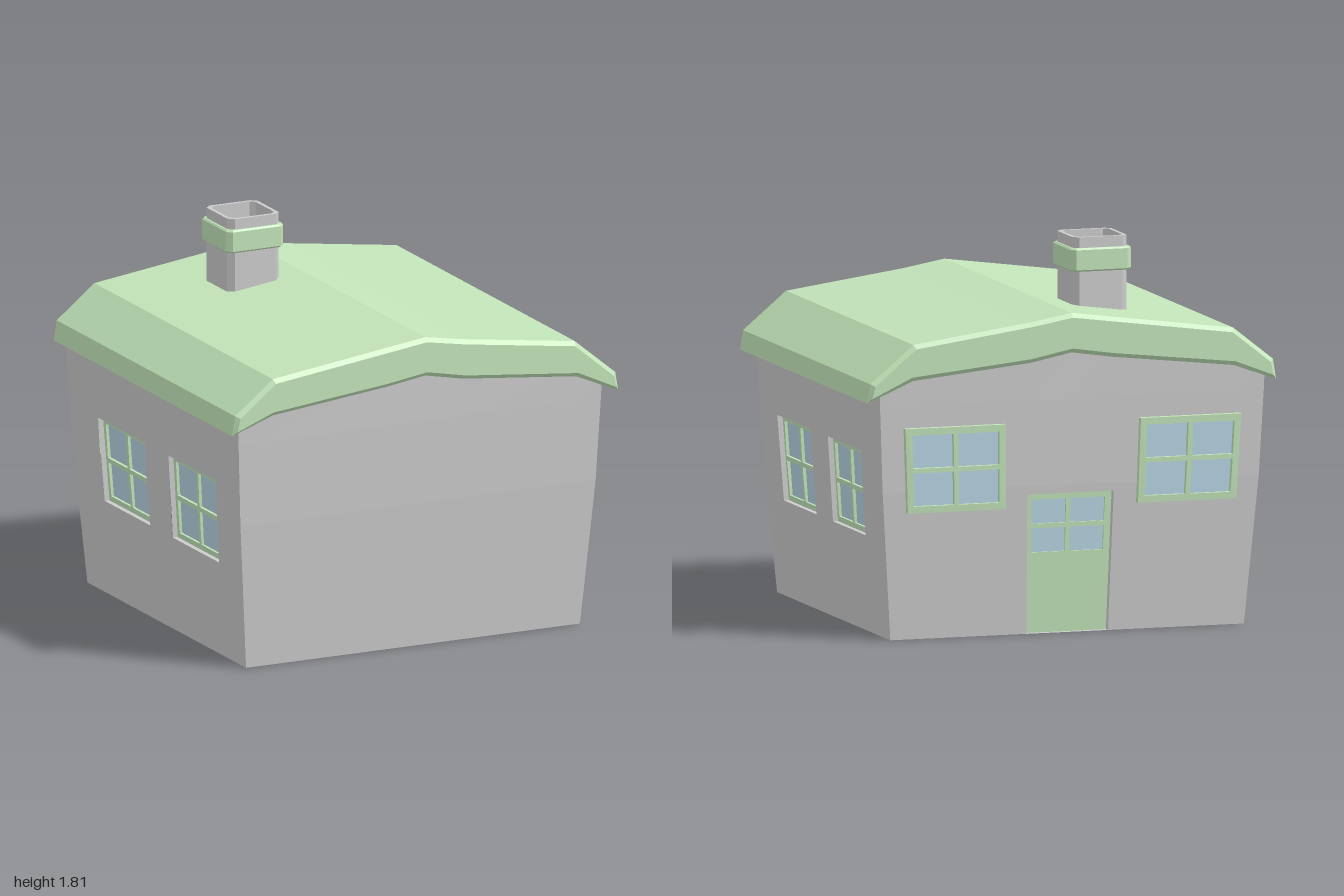
import * as THREE from 'three';

const mat = (color) => new THREE.MeshStandardMaterial({ color });
const grey = mat(0xcccccc);
const green = mat(0xc2e4b9);
const glass = mat(0xb8d7e4);

// Half width and half depth of the house where its scale is 1
const HX = 0.92, HZ = 0.88;

// Roof underside, from -x to +x
const eaves = [[-1, 1.155], [-0.79, 1.23], [-0.2, 1.295], [0, 1.325], [0.2, 1.285], [0.78, 1.225], [1, 1.13]];
const ridge = [[0.985, 1.22], [0.775, 1.395], [0.2, 1.475], [0, 1.51], [-0.79, 1.405], [-0.985, 1.25]];

function eavesAt(x) {
  const i = Math.max(1, eaves.findIndex((p) => p[0] >= x));
  const [a, b] = [eaves[i - 1], eaves[i]];
  return THREE.MathUtils.mapLinear(x, a[0], b[0], a[1], b[1]);
}

// The house widens upward, faster below y = 0.7
function spread(y) {
  return y < 0.7
    ? THREE.MathUtils.mapLinear(y, 0, 0.7, 0.94, 1)
    : THREE.MathUtils.mapLinear(Math.min(y, 1.2), 0.7, 1.2, 1, 1.025);
}

// Turns a geometry drawn in (along wall, up, outward) onto a wall and leans it with the house
function onWall(geo, wall) {
  geo.translate(0, 0, wall.reach).rotateY(wall.angle);
  const p = geo.attributes.position;
  for (let i = 0; i < p.count; i++) {
    const s = spread(p.getY(i));
    p.setXYZ(i, p.getX(i) * s - 0.012, p.getY(i), p.getZ(i) * s);
  }
  geo.computeVertexNormals();
  return geo;
}

function addMesh(parent, name, geo, material) {
  const mesh = new THREE.Mesh(geo, material);
  mesh.name = name;
  parent.add(mesh);
}

const sorted = (list) => [...new Set(list)].sort((a, b) => a - b);

// Wall as a grid of cells, leaving out the openings and lining them with reveals
function wallGeometry(wall) {
  const { half, holes, depth, sign } = wall;
  const us = sorted([-half, half, ...holes.flatMap((h) => [h[0], h[1]]),
    ...(sign ? eaves.slice(1, -1).map((e) => e[0] * sign) : [])]);
  const ys = sorted([0, 0.7, 1.1, 1.2, ...holes.flatMap((h) => [h[2], h[3]])]);
  const pos = [];
  const quad = (a, b, c, d) => pos.push(...a, ...b, ...c, ...a, ...c, ...d);
  const at = (u, y) => [u, y === 1.2 && sign ? eavesAt(u * sign) + 0.04 : y, 0];
  for (let i = 1; i < us.length; i++) {
    for (let j = 1; j < ys.length; j++) {
      const [u0, u1, y0, y1] = [us[i - 1], us[i], ys[j - 1], ys[j]];
      const open = holes.some((h) => u0 >= h[0] && u1 <= h[1] && y0 >= h[2] && y1 <= h[3]);
      if (!open) quad(at(u0, y0), at(u1, y0), at(u1, y1), at(u0, y1));
    }
  }
  for (const [u0, u1, y0, y1] of holes) {
    const c = [[u0, y0], [u1, y0], [u1, y1], [u0, y1]];
    c.forEach((a, i) => {
      const b = c[(i + 1) % 4];
      quad([...a, 0], [...b, 0], [...b, -depth], [...a, -depth]);
    });
  }
  const geo = new THREE.BufferGeometry();
  geo.setAttribute('position', new THREE.Float32BufferAttribute(pos, 3));
  return geo;
}

const polygon = (points) => points.map(([x, y]) => new THREE.Vector2(x, y));
const rect = (u0, u1, y0, y1) => polygon([[u0, y0], [u1, y0], [u1, y1], [u0, y1]]);

// Panel with two by two panes inside the area given by pane
function addGlazed(parent, name, wall, outer, pane, back, thick) {
  const group = new THREE.Group();
  group.name = name;
  const shape = new THREE.Shape(rect(...outer));
  const [u0, u1, y0, y1] = pane;
  const bar = 0.022, w = (u1 - u0 - bar) / 2, h = (y1 - y0 - bar) / 2;
  for (const u of [u0, u1 - w]) {
    for (const y of [y0, y1 - h]) shape.holes.push(new THREE.Path(rect(u, u + w, y, y + h)));
  }
  const frame = new THREE.ExtrudeGeometry(shape, { depth: thick, bevelEnabled: false });
  addMesh(group, 'frame', onWall(frame.translate(0, 0, back), wall), green);
  const sheet = new THREE.PlaneGeometry(u1 - u0, y1 - y0);
  sheet.translate((u0 + u1) / 2, (y0 + y1) / 2, back + thick * 0.35);
  addMesh(group, 'glass', onWall(sheet, wall), glass);
  parent.add(group);
}

const inset = ([u0, u1, y0, y1], m) => [u0 + m, u1 - m, y0 + m, y1 - m];

// Square outline with cut corners
function cutSquare(r, c) {
  const k = r - c;
  return polygon([[r, -k], [r, k], [k, r], [-k, r], [-r, k], [-r, -k], [-k, -r], [k, -r]]);
}

function makeChimney() {
  const chimney = new THREE.Group();
  chimney.name = 'chimney';
  const tube = (outer, cut, inner, y0, y1, bevel) => {
    const shape = new THREE.Shape(cutSquare(outer, cut));
    shape.holes.push(new THREE.Path(cutSquare(inner, cut * 0.8)));
    return new THREE.ExtrudeGeometry(shape, {
      depth: y1 - y0 - 2 * bevel, bevelEnabled: bevel > 0, bevelSize: bevel,
      bevelThickness: bevel, bevelOffset: -bevel, bevelSegments: 1,
    }).rotateX(-Math.PI / 2).translate(0, y0 + bevel, 0);
  };
  addMesh(chimney, 'chimneyStack', tube(0.133, 0.027, 0.115, 1.36, 1.81, 0), grey);
  addMesh(chimney, 'chimneyCollar', tube(0.149, 0.025, 0.125, 1.65, 1.76, 0.008), green);
  const floor = new THREE.ShapeGeometry(new THREE.Shape(cutSquare(0.12, 0.02)));
  addMesh(chimney, 'chimneyFloor', floor.rotateX(-Math.PI / 2).translate(0, 1.69, 0), grey);
  chimney.position.set(-0.257, 0, -0.457);
  return chimney;
}

export function createModel() {
  const house = new THREE.Group();
  house.name = 'house';

  const sideHoles = [[-0.632, -0.142, 0.46, 0.86], [0.1, 0.585, 0.46, 0.86]];
  const mirrored = sideHoles.map(([a, b, c, d]) => [-b, -a, c, d]);
  const doorway = [-0.212, 0.212, 0, 0.66];
  const walls = {
    frontWall: { angle: 0, reach: HZ, half: HX, holes: [], depth: 0, sign: 1 },
    backWall: { angle: Math.PI, reach: HZ, half: HX, holes: [doorway], depth: 0.045, sign: -1 },
    leftWall: { angle: Math.PI / 2, reach: HX, half: HZ, holes: sideHoles, depth: 0.045, sign: 0 },
    rightWall: { angle: -Math.PI / 2, reach: HX, half: HZ, holes: mirrored, depth: 0.045, sign: 0 },
  };
  for (const [name, wall] of Object.entries(walls)) {
    addMesh(house, name, onWall(wallGeometry(wall), wall), grey);
  }

  // Underside of the house
  const base = new THREE.PlaneGeometry(2 * HX * 0.94, 2 * HZ * 0.94);
  addMesh(house, 'base', base.rotateX(Math.PI / 2).translate(-0.012, 0, 0), grey);

  // Recessed side windows
  for (const wall of [walls.leftWall, walls.rightWall]) {
    for (const hole of wall.holes) addGlazed(house, 'sideWindow', wall, hole, inset(hole, 0.026), -0.045, 0.02);
  }

  // Raised back windows and the recessed door between them
  for (const u of [-0.81, 0.325]) {
    const area = [u, u + 0.485, 0.6, 1];
    addGlazed(house, 'backWindow', walls.backWall, area, inset(area, 0.032), -0.005, 0.033);
  }
  addGlazed(house, 'door', walls.backWall, doorway, [-0.18, 0.18, 0.38, 0.63], -0.045, 0.015);

  // Roof slab with narrow bevels at the gable ends
  const bevel = 0.02;
  const roof = new THREE.ExtrudeGeometry(new THREE.Shape(polygon([...eaves, ...ridge])), {
    depth: 1.9 - 2 * bevel, bevelSize: bevel, bevelThickness: bevel, bevelOffset: -bevel, bevelSegments: 1,
  });
  addMesh(house, 'roof', roof.translate(0, 0, bevel - 0.95), green);

  house.add(makeChimney());
  return house;
}
